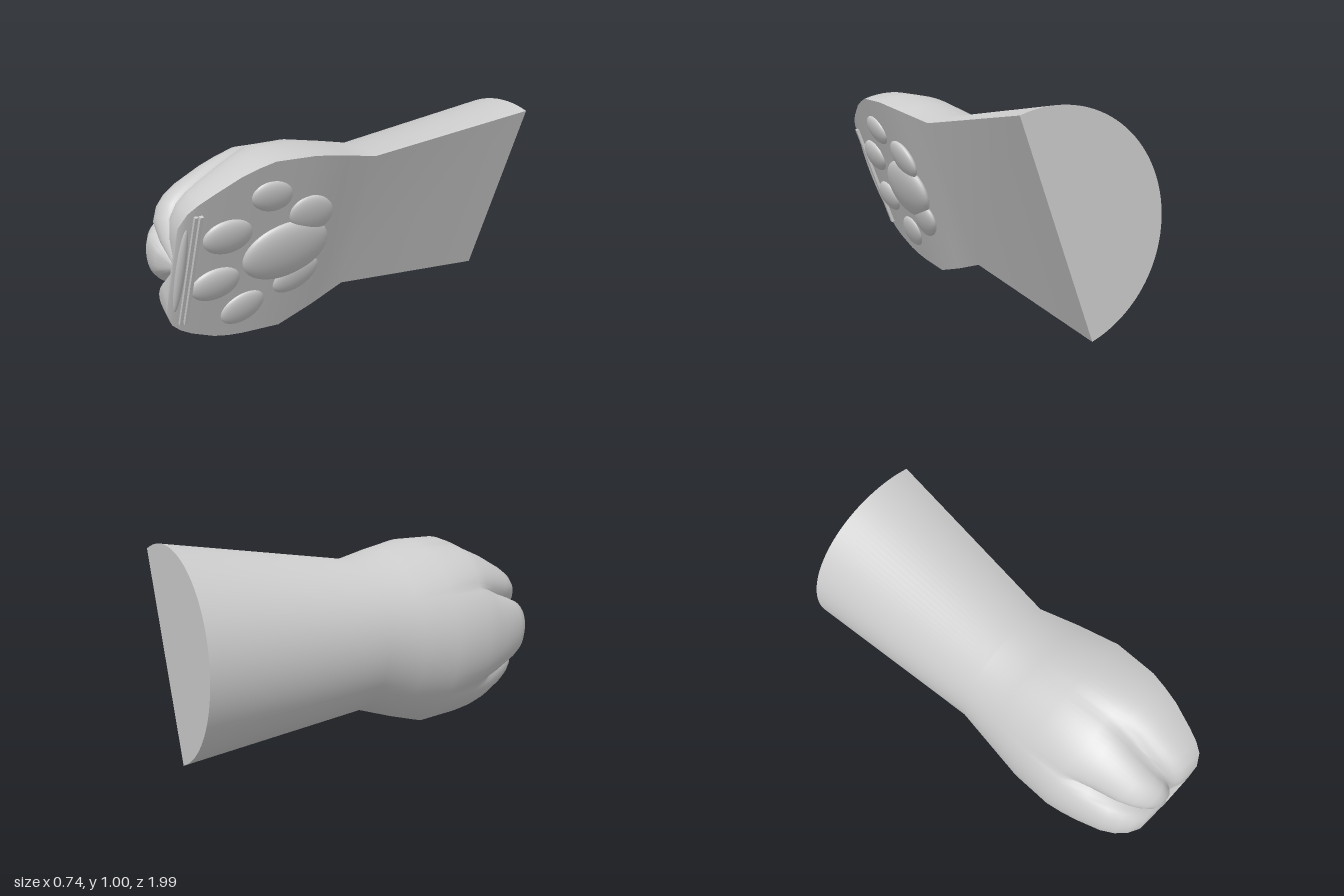
import * as THREE from 'three';
import { toCreasedNormals } from 'three/addons/utils/BufferGeometryUtils.js';

const material = new THREE.MeshStandardMaterial({ color: 0xcccccc });

// Paw frame: local x runs to the back, local y across the sole, local z out of the sole.
const SLOPE = new THREE.Vector3(0.352, 0.936, 0).normalize();
const CENTRE = new THREE.Vector3(0.19, 0.475, 0);

// Half-round sections: z, half width, depth, sideways shift, sole shift
const SECTIONS = [
  [-1, 0.51, 0.524, 0.009, -0.046],
  [-0.04, 0.393, 0.41, 0.002, -0.057],
  [0.16, 0.45, 0.458, 0.001, -0.025],
  [0.36, 0.5, 0.5, 0, 0],
  [0.57, 0.495, 0.505, 0.012, 0],
  [0.65, 0.478, 0.487, 0.008, 0],
  [0.73, 0.452, 0.465, 0.005, 0],
  [0.85, 0.39, 0.424, 0, -0.002],
  [0.91, 0.352, 0.385, 0, -0.005],
  [0.955, 0.31, 0.335, 0, -0.01],
  [0.985, 0.24, 0.27, 0, -0.02],
  [0.99, 0.14, 0.16, 0, -0.025],
];
// Angles of the grooves between the four toes
const GROOVES = [0.6, 1.36, 2.5];
const SIDES = 60;

function pawGeometry() {
  const positions = [], index = [], ring = SIDES + 1;
  for (const [z, width, depth, shift, sole] of SECTIONS) {
    const strength = THREE.MathUtils.smoothstep(z, 0.4, 1);
    for (let j = 0; j <= SIDES; j++) {
      const angle = (Math.PI * j) / SIDES;
      let groove = 0;
      for (const g of GROOVES) groove += Math.exp(-Math.abs(angle - g) / 0.13);
      groove *= strength;
      const r = 1 - 0.17 * groove;
      positions.push(
        -(z - 0.06 * groove),
        width * Math.cos(angle) * r + shift,
        -depth * Math.sin(angle) * r + sole,
      );
    }
  }
  const last = (SECTIONS.length - 1) * ring;
  const back = SECTIONS.length * ring, front = back + 1;
  positions.push(1, 0.009, -0.25, -0.96, 0, -0.045);
  for (let i = 0; i < SECTIONS.length - 1; i++) {
    for (let j = 0; j < ring; j++) {
      const a = i * ring + j, b = i * ring + ((j + 1) % ring);
      index.push(a, b, a + ring, b, b + ring, a + ring);
    }
  }
  // End caps
  for (let j = 0; j < ring; j++) {
    const k = (j + 1) % ring;
    index.push(back, k, j, front, last + j, last + k);
  }
  const geometry = new THREE.BufferGeometry();
  geometry.setAttribute('position', new THREE.Float32BufferAttribute(positions, 3));
  geometry.setIndex(index);
  return toCreasedNormals(geometry, 0.85);
}

// Flattened oval cushion: z, height, half length, half width, tilt, thickness
const PADS = [
  ['toePad1', 0.555, 0.78, 0.108, 0.077, -0.3, 0.03],
  ['toePad2', 0.747, 0.617, 0.122, 0.09, -0.1, 0.035],
  ['toePad3', 0.77, 0.372, 0.122, 0.09, 0.03, 0.035],
  ['toePad4', 0.6, 0.19, 0.115, 0.09, 0.35, 0.03],
  ['mainPad', 0.418, 0.47, 0.23, 0.163, 0.04, 0.052],
  ['upperLobe', 0.318, 0.645, 0.128, 0.095, -0.45, 0.032],
  ['lowerLobe', 0.328, 0.305, 0.128, 0.09, 0.45, 0.032],
];

export function createModel() {
  const model = new THREE.Group();
  const paw = new THREE.Group();
  paw.name = 'paw';
  const out = new THREE.Vector3(SLOPE.y, -SLOPE.x, 0);
  paw.quaternion.setFromRotationMatrix(
    new THREE.Matrix4().makeBasis(new THREE.Vector3(0, 0, -1), SLOPE, out));
  paw.position.copy(CENTRE);
  model.add(paw);

  const add = (name, geometry, x, y, z) => {
    const mesh = new THREE.Mesh(geometry, material);
    mesh.name = name;
    mesh.position.set(x, y, z);
    paw.add(mesh);
    return mesh;
  };
  const across = (height) => (height - CENTRE.y) / SLOPE.y;

  add('legAndToes', pawGeometry(), 0, 0, 0);

  const ball = new THREE.SphereGeometry(1, 32, 20);
  for (const [name, z, height, length, width, tilt, thickness] of PADS) {
    const pad = add(name, ball, -z, across(height), 0);
    pad.scale.set(length, width, thickness);
    pad.rotation.z = tilt;
  }

  // Thin ridges along the front edge of the sole
  add('frontRidge', new THREE.BoxGeometry(0.016, 0.6, 0.02), -0.918, across(0.47), -0.003);
  add('frontRidge', new THREE.BoxGeometry(0.016, 0.6, 0.02), -0.896, across(0.47), 0.002);
  const lip = add('frontLip', ball, -0.95, across(0.475), -0.012);
  lip.scale.set(0.022, 0.23, 0.02);
  return model;
}
